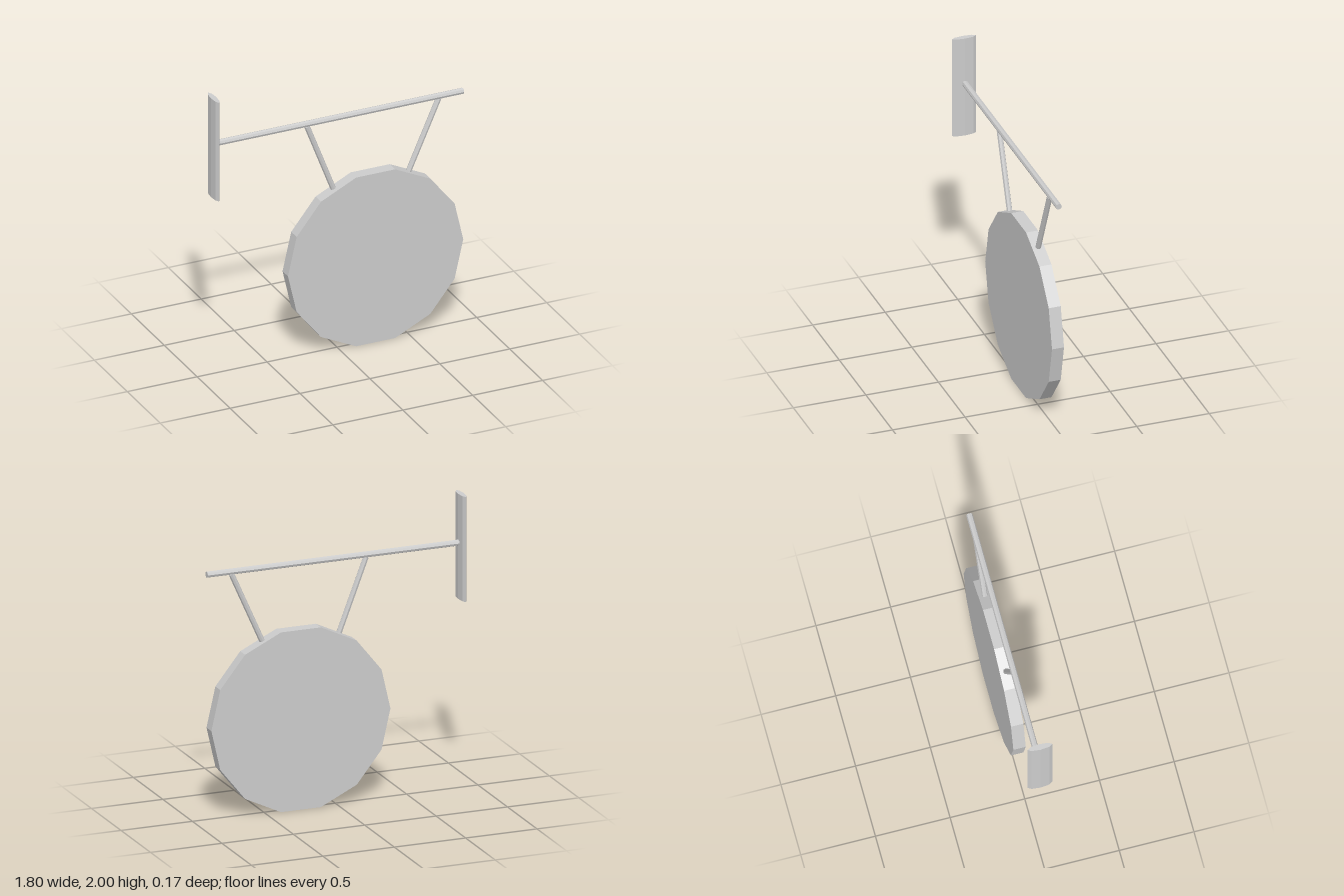
import * as THREE from 'three';

export function createModel() {
  const group = new THREE.Group();
  const material = new THREE.MeshStandardMaterial({ color: 0xcccccc, flatShading: true });

  const add = (name, geometry) => {
    const mesh = new THREE.Mesh(geometry, material);
    mesh.name = name;
    group.add(mesh);
    return mesh;
  };

  // Round rod between two points in the z = 0 plane
  const rod = (name, radius, [x1, y1], [x2, y2]) => {
    const a = new THREE.Vector3(x1, y1, 0);
    const b = new THREE.Vector3(x2, y2, 0);
    const mesh = add(name, new THREE.CylinderGeometry(radius, radius, a.distanceTo(b), 8));
    mesh.position.copy(a).lerp(b, 0.5);
    mesh.quaternion.setFromUnitVectors(new THREE.Vector3(0, 1, 0), b.sub(a).normalize());
  };

  // Fourteen-sided sign disc with corners at its left and right
  const disc = add('signDisc',
    new THREE.CylinderGeometry(0.627, 0.627, 0.083, 14, 1, false, Math.PI / 2).rotateX(Math.PI / 2));
  disc.position.set(0.257, 0.614, 0);

  // Flattened upright wall plate
  const plate = add('wallPlate', new THREE.CylinderGeometry(1, 1, 0.715, 8).scale(0.02, 1, 0.083));
  plate.position.set(-0.882, 1.6425, 0);

  // Horizontal arm and the two slanted hangers
  rod('arm', 0.021, [-0.875, 1.668], [0.9, 1.668]);
  rod('rightHanger', 0.019, [-0.216, 1.652], [-0.028, 1.162]);
  rod('leftHanger', 0.019, [0.727, 1.652], [0.513, 1.172]);

  return group;
}
